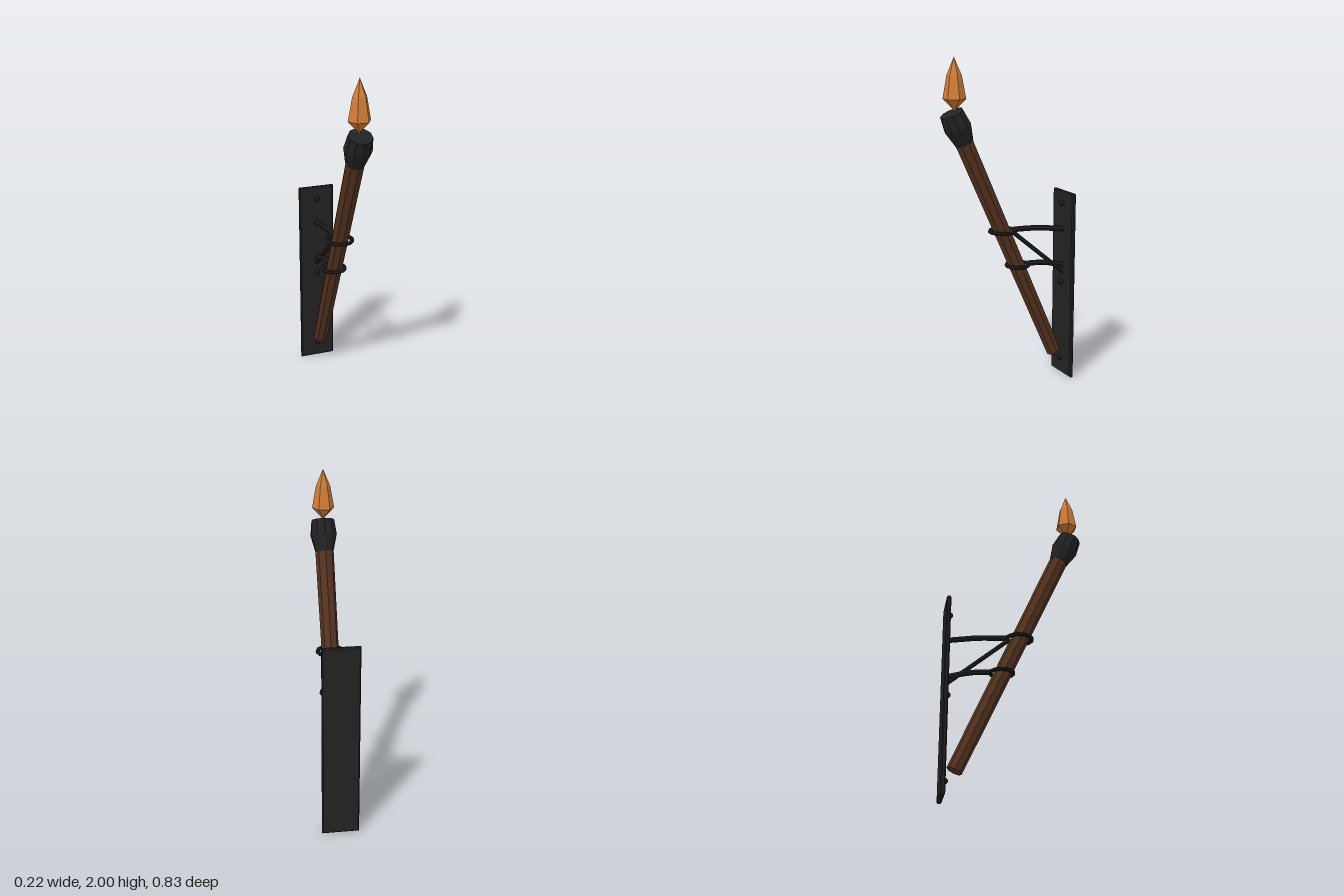
import * as THREE from 'three';

const paint = (name, color) => {
  const m = new THREE.MeshStandardMaterial({ color, flatShading: true });
  m.name = name;
  return m;
};

export function createModel() {
  const iron = paint('dark iron', 0x222222);
  const wood = paint('brown wood', 0x54321f);
  const fire = paint('orange flame', 0xcf7c37);

  const model = new THREE.Group();
  model.name = 'wallTorch';
  const add = (name, geometry, material, parent = model) => {
    const mesh = new THREE.Mesh(geometry, material);
    mesh.name = name;
    parent.add(mesh);
    return mesh;
  };
  const lathe = (points, sides) =>
    new THREE.LatheGeometry(points.map(([r, y]) => new THREE.Vector2(r, y)), sides);
  // rod through (y, z) points in the middle plane, with closed ends
  const rod = (name, points, radius, steps) => {
    const path = points.map(([y, z]) => new THREE.Vector3(0, y, z));
    const curve = path.length > 2
      ? new THREE.CatmullRomCurve3(path)
      : new THREE.LineCurve3(path[0], path[1]);
    const mesh = add(name, new THREE.TubeGeometry(curve, steps, radius, 8, false), iron);
    mesh.material = iron;
    return mesh;
  };

  // wall plate with chamfered edges
  const b = 0.007, w = 0.11 - b, h = 1.175;
  const outline = new THREE.Shape();
  outline.moveTo(-w, b).lineTo(w, b).lineTo(w, h - b).lineTo(-w, h - b).closePath();
  const plate = new THREE.ExtrudeGeometry(outline, {
    depth: 0.013, bevelEnabled: true, bevelSize: b, bevelThickness: b, bevelSegments: 1,
  });
  add('wallPlate', plate, iron).position.z = -0.412;

  // rivets
  for (const y of [0.1, 0.6, 1.1]) {
    add('rivet', new THREE.SphereGeometry(0.018, 8, 6), iron).position.set(0, y, -0.387);
  }

  // leaning torch: shaft and cup share one tilted axis
  const torch = new THREE.Group();
  torch.name = 'torch';
  torch.position.set(0, 0.157, -0.338);
  torch.rotation.x = 0.42;
  model.add(torch);
  const length = 1.5;
  add('shaft', new THREE.CylinderGeometry(0.055, 0.046, length, 8), wood, torch).position.y = length / 2;
  add('cup', lathe([[0, 0], [0.055, 0], [0.08, 0.1], [0.069, 0.19], [0, 0.19]], 10), iron, torch)
    .position.y = 1.49;

  // upright flame, with a corner on each side
  const flame = add('flame',
    lathe([[0, 1.695], [0.012, 1.715], [0.066, 1.77], [0.042, 1.9], [0, 2]], 6), fire);
  flame.rotation.y = Math.PI / 6;
  flame.position.z = 0.328;

  // open rings around the shaft, with the slit on the left
  const ring = (name, y, z, radius) => {
    const gap = 0.1, arc = Math.PI * 2 - gap;
    const geometry = new THREE.TorusGeometry(radius, 0.012, 8, 13, arc);
    geometry.rotateZ(gap / 2).rotateX(Math.PI / 2);
    add(name, geometry, iron).position.set(0, y, z);
    // caps on the two slit ends
    for (const side of [-1, 1]) {
      const cap = add('ringEnd', new THREE.CircleGeometry(0.012, 8), iron);
      const a = side * gap / 2;
      cap.position.set(radius * Math.cos(a), y, z + radius * Math.sin(a));
      cap.rotation.y = side > 0 ? Math.PI - a : -a;
    }
  };
  ring('upperRing', 0.977, 0.024, 0.076);
  ring('lowerRing', 0.755, -0.078, 0.067);

  // curved arms and the straight brace
  rod('upperArm', [[0.978, -0.045], [0.968, -0.21], [0.938, -0.4]], 0.017, 5);
  rod('lowerArm', [[0.755, -0.14], [0.745, -0.26], [0.708, -0.4]], 0.017, 5);
  rod('brace', [[0.97, -0.035], [0.665, -0.4]], 0.013, 1);

  return model;
}
